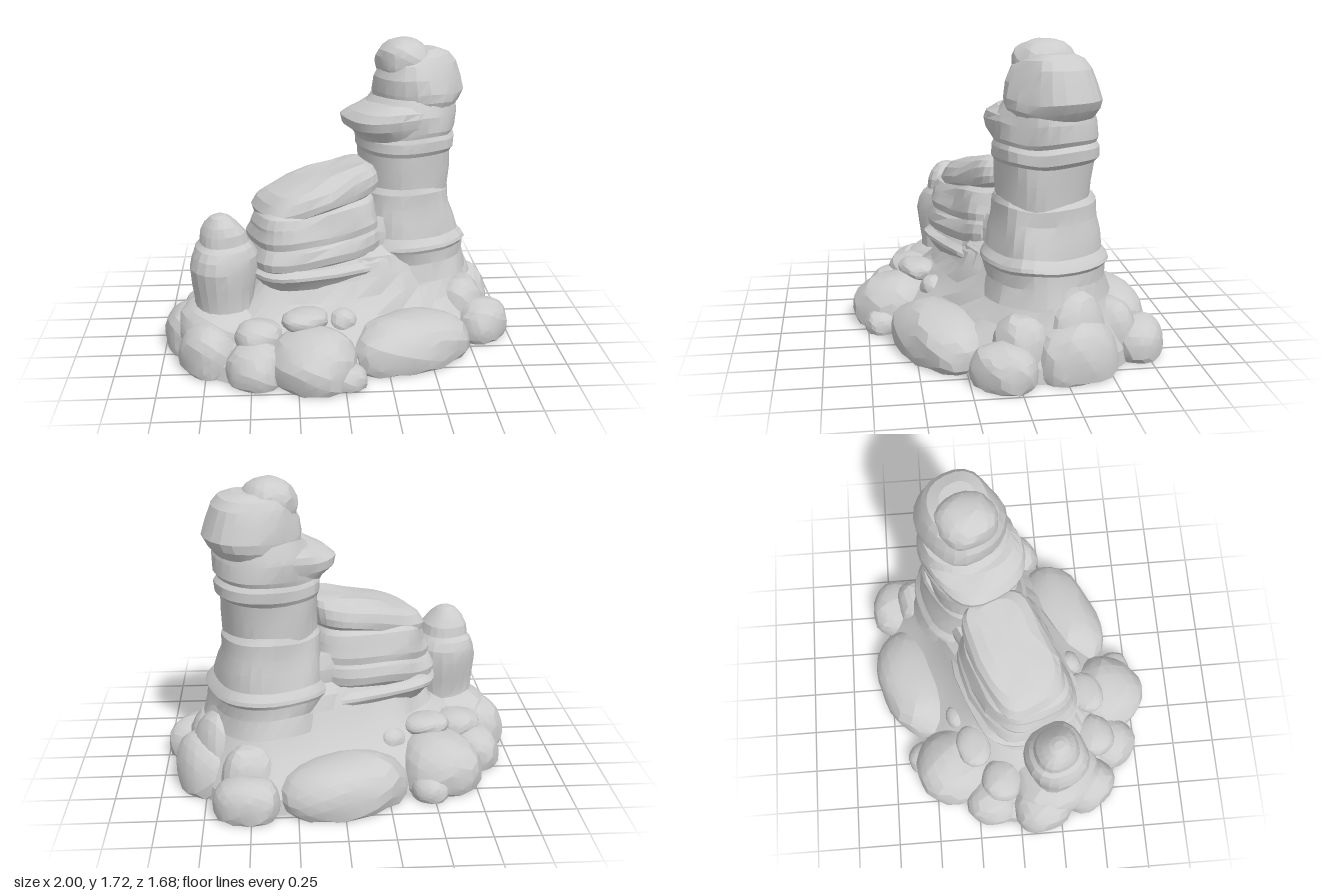
import * as THREE from 'three';
import { toCreasedNormals, mergeVertices } from 'three/addons/utils/BufferGeometryUtils.js';

const stone = new THREE.MeshStandardMaterial({ color: 0xcccccc });
stone.name = 'stone grey';

// Smooth, repeatable surface wobble
const wobble = (x, y, z, s) =>
  Math.sin(9 * x + 3 * y + s) * Math.sin(7 * z - 4 * y + 2.3 * s) +
  0.6 * Math.sin(17 * x - 11 * z + 13 * y + 1.7 * s);

function addMesh(parent, name, geo) {
  const mesh = new THREE.Mesh(toCreasedNormals(geo, 0.3), stone);
  mesh.name = name;
  parent.add(mesh);
  return mesh;
}

// Layered rock: each ring is [y, x start, x end, half width]; tilt lifts the +x end
function strata(parent, name, rings, { tilt = 0, round = 0.8, seed = 1, rough = 0.012, n = 28 } = {}) {
  const pos = [], idx = [];
  const pow = (c) => Math.sign(c) * Math.abs(c) ** round;
  rings.forEach(([y, x0, x1, h]) => {
    const xc = (x0 + x1) / 2, rx = (x1 - x0) / 2;
    for (let i = 0; i < n; i++) {
      const a = (i / n) * Math.PI * 2;
      const c = pow(Math.cos(a)), s = pow(Math.sin(a));
      const w = wobble(xc + rx * c, y, h * s, seed) * rough;
      const x = xc + (rx + w) * c;
      pos.push(x, y <= 0 ? 0 : Math.max(0, y + tilt * (x + 0.15) + w * 0.8), (h + w) * s);
    }
  });
  const last = rings.length - 1;
  for (let j = 0; j < last; j++) {
    for (let i = 0; i < n; i++) {
      const a = j * n + i, b = j * n + ((i + 1) % n);
      idx.push(a, a + n, b, b, a + n, b + n);
    }
  }
  // End caps
  [0, last].forEach((j) => {
    const [y, x0, x1] = rings[j], centre = pos.length / 3, xc = (x0 + x1) / 2;
    pos.push(xc, y <= 0 ? 0 : y + tilt * (xc + 0.15), 0);
    for (let i = 0; i < n; i++) {
      const a = j * n + i, b = j * n + ((i + 1) % n);
      if (j) idx.push(centre, b, a); else idx.push(centre, a, b);
    }
  });
  const geo = new THREE.BufferGeometry();
  geo.setAttribute('position', new THREE.Float32BufferAttribute(pos, 3));
  geo.setIndex(idx);
  return addMesh(parent, name, geo);
}

// Boulder: faceted, slightly boxy ball, flattened where it meets the ground
function boulder(parent, name, [x, y, z], [rx, ry, rz], turn = 0, seed = 1) {
  let geo = new THREE.IcosahedronGeometry(1, 3);
  geo.deleteAttribute('normal');
  geo.deleteAttribute('uv');
  geo = mergeVertices(geo);
  const p = geo.attributes.position, v = new THREE.Vector3();
  const ct = Math.cos(turn), st = Math.sin(turn);
  for (let i = 0; i < p.count; i++) {
    v.fromBufferAttribute(p, i);
    const k = (Math.abs(v.x) ** 2.3 + Math.abs(v.y) ** 2.3 + Math.abs(v.z) ** 2.3) ** (-1 / 2.3);
    v.multiplyScalar(k * (1 + 0.035 * wobble(v.x * 0.4, v.y * 0.4, v.z * 0.4, seed)));
    const px = v.x * rx, pz = v.z * rz;
    p.setXYZ(i, x + px * ct + pz * st, Math.max(0, y + v.y * ry), z - px * st + pz * ct);
  }
  return addMesh(parent, name, geo);
}

export function createModel() {
  const model = new THREE.Group();
  model.name = 'rockFormation';
  const rock = new THREE.Group();
  rock.name = 'rocks';
  rock.rotation.y = 0.38;
  rock.position.z = -0.04;
  model.add(rock);

  // Ground mass and sloping skirt
  strata(rock, 'groundMass', [
    [0, -0.95, 0.88, 0.61], [0.08, -0.94, 0.88, 0.59], [0.17, -0.84, 0.85, 0.5],
    [0.25, -0.73, 0.81, 0.42], [0.34, -0.58, 0.78, 0.355], [0.43, -0.52, 0.755, 0.31],
    [0.5, -0.5, 0.74, 0.28], [0.55, -0.48, 0.72, 0.25],
  ], { seed: 2, round: 0.82, n: 40 });

  // Saddle that joins mesa and tower
  strata(rock, 'saddle', [
    [0.45, -0.1, 0.5, 0.3], [0.53, -0.1, 0.5, 0.27], [0.58, -0.1, 0.5, 0.22],
    [0.66, -0.1, 0.5, 0.225], [0.74, -0.1, 0.45, 0.2],
  ], { seed: 12, round: 0.6 });

  // Mesa: overhanging ledges with a tilted slab on top
  strata(rock, 'lowerLedge', [
    [0.4, -0.5, 0.3, 0.27], [0.45, -0.53, 0.3, 0.3], [0.475, -0.56, 0.28, 0.32],
    [0.495, -0.56, 0.26, 0.32], [0.52, -0.53, 0.22, 0.285], [0.58, -0.5, 0.2, 0.25],
  ], { round: 0.62, seed: 3 });
  strata(rock, 'mesaLayers', [
    [0.5, -0.5, 0.18, 0.25], [0.545, -0.54, 0.19, 0.285], [0.59, -0.55, 0.19, 0.295],
    [0.64, -0.53, 0.19, 0.28], [0.66, -0.52, 0.19, 0.265], [0.7, -0.53, 0.19, 0.27],
    [0.75, -0.51, 0.18, 0.255], [0.77, -0.51, 0.18, 0.25],
    [0.82, -0.49, 0.17, 0.235], [0.85, -0.46, 0.16, 0.2],
  ], { tilt: 0.07, round: 0.58, seed: 4 });
  strata(rock, 'mesaTopSlab', [
    [0.81, -0.45, 0.16, 0.19], [0.84, -0.48, 0.19, 0.225], [0.88, -0.49, 0.2, 0.23],
    [0.93, -0.46, 0.2, 0.215], [0.965, -0.41, 0.19, 0.185], [0.985, -0.33, 0.15, 0.12],
  ], { tilt: 0.2, round: 0.55, seed: 5 });

  // Tower shaft with bands, foot ledge and jutting shelf
  strata(rock, 'towerFoot', [
    [0.36, 0.14, 0.775, 0.35], [0.46, 0.14, 0.755, 0.32], [0.53, 0.1, 0.755, 0.325],
    [0.55, 0.09, 0.77, 0.335], [0.57, 0.1, 0.76, 0.33], [0.61, 0.13, 0.73, 0.3], [0.7, 0.14, 0.715, 0.285],
    [0.78, 0.15, 0.69, 0.265], [0.86, 0.15, 0.685, 0.26], [0.89, 0.17, 0.66, 0.245],
  ], { round: 0.84, seed: 6, rough: 0.01 });
  strata(rock, 'towerShaft', [
    [0.84, 0.17, 0.66, 0.24], [0.98, 0.17, 0.675, 0.245], [1.08, 0.165, 0.68, 0.25],
    [1.105, 0.155, 0.705, 0.265], [1.16, 0.155, 0.705, 0.265], [1.185, 0.165, 0.685, 0.255],
    [1.21, 0.165, 0.7, 0.262], [1.3, 0.17, 0.7, 0.262], [1.34, 0.2, 0.69, 0.25], [1.4, 0.25, 0.68, 0.23],
  ], { round: 0.82, seed: 7, rough: 0.01 });
  strata(rock, 'towerShelf', [
    [1.1, 0.18, 0.6, 0.2], [1.18, 0.13, 0.64, 0.24], [1.225, 0.07, 0.66, 0.255],
    [1.275, 0.06, 0.67, 0.262], [1.31, 0.11, 0.67, 0.255], [1.345, 0.2, 0.66, 0.225],
  ], { tilt: 0.04, round: 0.8, seed: 8, rough: 0.01 });
  strata(rock, 'towerCap', [
    [1.32, 0.28, 0.7, 0.215], [1.37, 0.26, 0.74, 0.235], [1.42, 0.25, 0.765, 0.238],
    [1.5, 0.255, 0.74, 0.222], [1.58, 0.28, 0.71, 0.195], [1.625, 0.32, 0.67, 0.165], [1.65, 0.4, 0.6, 0.1],
  ], { round: 0.88, seed: 9, rough: 0.01, n: 22 });
  boulder(rock, 'towerKnob', [0.41, 1.585, 0], [0.15, 0.13, 0.165], 0, 3);

  // Small spire at the low end
  strata(rock, 'smallSpire', [
    [0.15, -0.88, -0.52, 0.18], [0.32, -0.86, -0.54, 0.16], [0.42, -0.875, -0.53, 0.17],
    [0.53, -0.89, -0.515, 0.185], [0.6, -0.88, -0.52, 0.18], [0.65, -0.86, -0.545, 0.16],
    [0.675, -0.835, -0.565, 0.135], [0.73, -0.825, -0.58, 0.125], [0.775, -0.8, -0.615, 0.1],
    [0.815, -0.765, -0.655, 0.06], [0.83, -0.735, -0.685, 0.03],
  ], { round: 0.88, seed: 10, rough: 0.008, n: 18 });
  boulder(rock, 'spireBase', [-0.72, 0.17, 0], [0.24, 0.16, 0.27], 0, 6);

  // Rocks at the tower end
  boulder(rock, 'endRockTall', [0.73, 0.12, 0], [0.15, 0.31, 0.18], 0, 7);
  boulder(rock, 'endRockLow', [0.8, 0.07, 0.02], [0.17, 0.23, 0.23], 0, 8);

  // Mirrored boulders around the base: name, centre, radii, turn
  const pairs = [
    ['longBoulder', [0.2, 0.08, 0.52], [0.36, 0.19, 0.215], 0.05],
    ['roundBoulder', [-0.385, 0.08, 0.51], [0.235, 0.2, 0.245], 0.2],
    ['cornerBoulder', [0.735, 0.07, 0.42], [0.18, 0.15, 0.14], 0.6],
    ['backBoulder', [0.66, 0.1, 0.28], [0.16, 0.23, 0.14], 0.2],
    ['frontPebble', [-0.25, 0.04, 0.665], [0.1, 0.085, 0.1], 0],
    ['sideBoulder', [-0.67, 0.06, 0.4], [0.16, 0.16, 0.16], 0.5],
    ['upperBoulder', [-0.62, 0.21, 0.31], [0.13, 0.09, 0.12], 0.3],
    ['spireBoulder', [-0.85, 0.07, 0.15], [0.155, 0.2, 0.18], 0.2],
    ['ledgePebble', [-0.375, 0.29, 0.38], [0.13, 0.06, 0.1], 0.1],
    ['smallPebble', [-0.15, 0.24, 0.375], [0.08, 0.07, 0.08], 0],
  ];
  pairs.forEach(([name, [x, y, z], radii, turn], i) => {
    for (const side of [1, -1]) {
      boulder(rock, name + (side > 0 ? 'Front' : 'Back'), [x, y, z * side], radii, turn * side, i + 11);
    }
  });
  return model;
}
